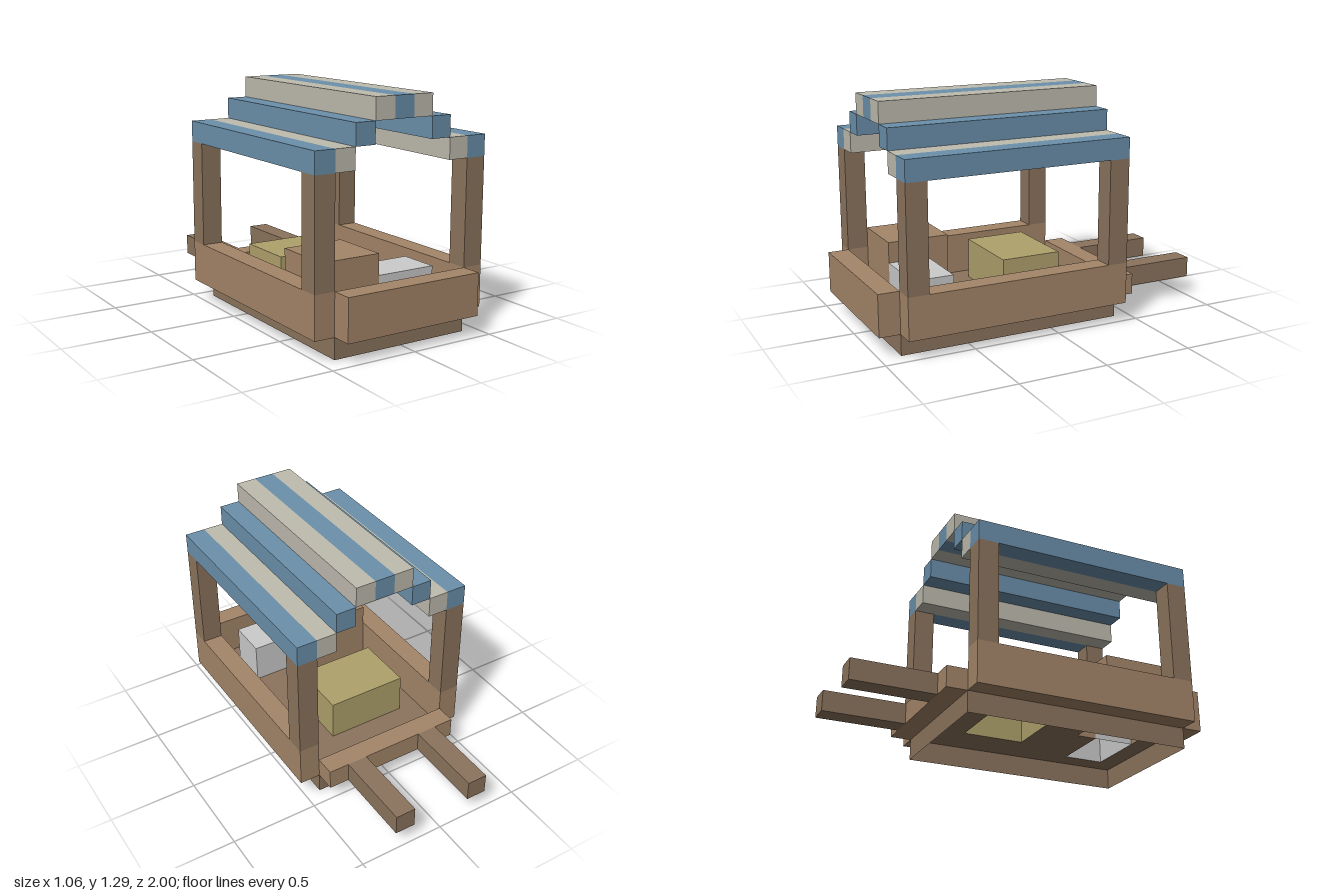
import * as THREE from 'three';

const U = 2 / 17; // one block

const mat = (color, side = THREE.FrontSide) =>
  new THREE.MeshStandardMaterial({ color, side, flatShading: true });

const LIGHT_WOOD = 0xa58669, DARK_WOOD = 0x8c745d, BLUE = 0x6b90ab;
const CREAM = 0xbfbbaf, STRAW = 0xb0a26c, GREY = 0xcccccc;

// Box between block coordinates; "open" lists the faces left out
// (2 = top, 3 = bottom, in BoxGeometry face order).
function block(parent, name, color, [x0, x1], [y0, y1], [z0, z1], open = []) {
  const geo = new THREE.BoxGeometry((x1 - x0) * U, (y1 - y0) * U, (z1 - z0) * U);
  if (open.length) {
    const index = Array.from(geo.index.array);
    geo.setIndex(index.filter((_, i) => !open.includes(Math.floor(i / 6))));
    geo.clearGroups();
  }
  const mesh = new THREE.Mesh(geo, mat(color, open.length ? THREE.DoubleSide : THREE.FrontSide));
  mesh.position.set((x0 + x1) / 2 * U, (y0 + y1) / 2 * U, (z0 + z1) / 2 * U);
  mesh.name = name;
  parent.add(mesh);
  return mesh;
}

// The same block on both sides of x = 0
function pair(parent, name, color, [x0, x1], y, z) {
  block(parent, name + 'Left', color, [x0, x1], y, z);
  block(parent, name + 'Right', color, [-x1, -x0], y, z);
}

export function createModel() {
  const model = new THREE.Group();
  model.name = 'marketCart';
  const length = [-3.5, 7.5];

  // Hollow base skirt, open below
  block(model, 'baseSkirt', DARK_WOOD, [-3.5, 3.5], [0, 1], length, [2, 3]);

  // Floor strips around the hollow goods
  const floor = new THREE.Group();
  floor.name = 'floor';
  const strips = [
    [-3.5, 3.5, -3.5, -1.5], [-3.5, -2.5, -1.5, 1.5], [1.5, 3.5, -1.5, 1.5],
    [-3.5, 3.5, 1.5, 3.5], [-0.5, 3.5, 3.5, 4.5], [2.5, 3.5, 4.5, 6.5],
    [-3.5, 3.5, 6.5, 7.5],
  ];
  for (const [x0, x1, z0, z1] of strips) {
    const geo = new THREE.PlaneGeometry((x1 - x0) * U, (z1 - z0) * U).rotateX(-Math.PI / 2);
    const strip = new THREE.Mesh(geo, mat(DARK_WOOD, THREE.DoubleSide));
    strip.position.set((x0 + x1) / 2 * U, U, (z0 + z1) / 2 * U);
    strip.name = 'floorStrip';
    floor.add(strip);
  }
  model.add(floor);

  // Side walls, front and back boards
  pair(model, 'sideWall', LIGHT_WOOD, [3.5, 4.5], [1, 3], length);
  block(model, 'frontBoard', LIGHT_WOOD, [-3.5, 3.5], [1, 3], [7.5, 8.5]);
  block(model, 'backBoard', LIGHT_WOOD, [-3.5, 3.5], [1, 2], [-4.5, -3.5]);

  // Handles and roof posts
  pair(model, 'handle', DARK_WOOD, [1.5, 2.5], [1, 2], [-8.5, -4.5]);
  pair(model, 'frontPost', DARK_WOOD, [3.5, 4.5], [3, 8], [6.5, 7.5]);
  pair(model, 'backPost', DARK_WOOD, [3.5, 4.5], [3, 8], [-3.5, -2.5]);

  // Goods, hollow underneath
  block(model, 'woodenCrate', LIGHT_WOOD, [-3.5, -0.5], [1, 4], [3.5, 6.5], [3]);
  block(model, 'greyBox', GREY, [-0.5, 2.5], [1, 3], [4.5, 6.5], [3]);
  block(model, 'strawBale', STRAW, [-2.5, 1.5], [1, 3], [-1.5, 1.5], [3]);

  // Stepped striped awning
  const awning = new THREE.Group();
  awning.name = 'awning';
  block(awning, 'ridgeStripe', BLUE, [-0.5, 0.5], [10, 11], length);
  [10, 9, 8, 8].forEach((y, i) =>
    pair(awning, 'stripe' + (i + 1), i % 2 ? BLUE : CREAM, [i + 0.5, i + 1.5], [y, y + 1], length));
  model.add(awning);

  return model;
}
